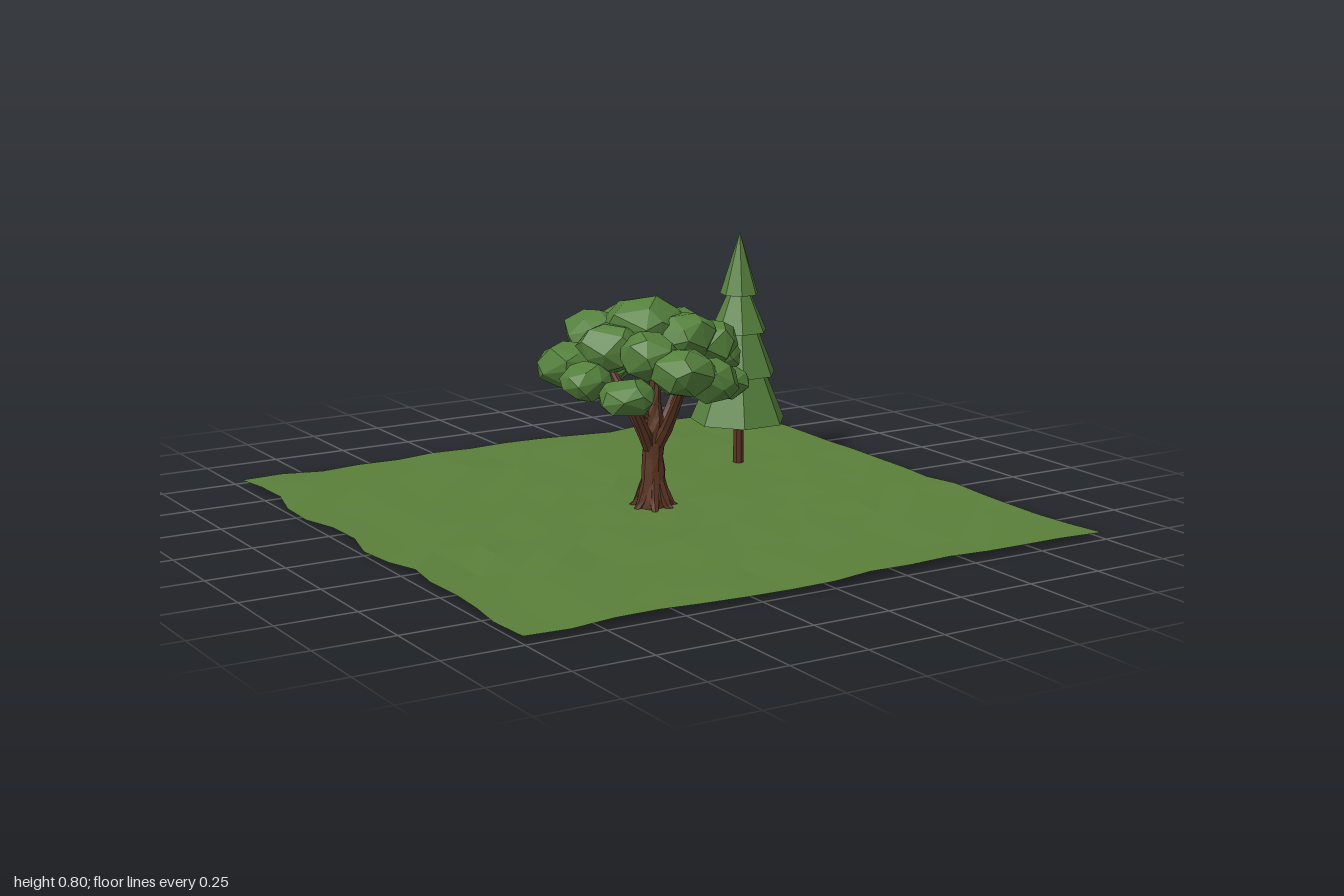
import * as THREE from 'three';
import { ConvexGeometry } from 'three/addons/geometries/ConvexGeometry.js';

// Small seeded random generator
function seeded(seed) {
  let s = seed;
  return () => {
    s = (s * 16807) % 2147483647;
    return s / 2147483647;
  };
}

function makeMaterial(name, color, doubleSided = false) {
  const m = new THREE.MeshStandardMaterial({ color, flatShading: true });
  m.name = name;
  if (doubleSided) m.side = THREE.DoubleSide;
  return m;
}

function makeMesh(name, geometry, material) {
  const mesh = new THREE.Mesh(geometry, material);
  mesh.name = name;
  return mesh;
}

// Tapered, slightly gnarled tube through points; radii are spread evenly along it
function limb(points, radii, sides, rand, steps = 6, rough = 0.12) {
  const curve = new THREE.CatmullRomCurve3(points.map((p) => new THREE.Vector3(...p)));
  const geo = new THREE.TubeGeometry(curve, steps, 1, sides);
  const pos = geo.attributes.position;
  const v = new THREE.Vector3();
  for (let i = 0; i <= steps; i++) {
    const centre = curve.getPointAt(i / steps);
    const f = (i / steps) * (radii.length - 1);
    const k = Math.min(Math.floor(f), radii.length - 2);
    const radius = THREE.MathUtils.lerp(radii[k], radii[k + 1], f - k);
    const wobble = Array.from({ length: sides }, () => 1 + (rand() - 0.5) * 2 * rough);
    for (let j = 0; j <= sides; j++) {
      const n = i * (sides + 1) + j;
      v.fromBufferAttribute(pos, n).sub(centre).multiplyScalar(radius * wobble[j % sides]).add(centre);
      pos.setXYZ(n, v.x, Math.max(v.y, 0), v.z);
    }
  }
  geo.computeVertexNormals();
  return geo;
}

// Irregular faceted clump of leaves
function clump(rx, ry, rand) {
  const count = 24;
  const turn = rand() * 6.28;
  const pts = [];
  for (let i = 0; i < count; i++) {
    const y = 1 - (2 * (i + 0.5)) / count;
    const r = Math.sqrt(1 - y * y);
    const a = i * 2.39996 + turn + (rand() - 0.5) * 0.7;
    const k = 0.98 + rand() * 0.14;
    pts.push(new THREE.Vector3(Math.cos(a) * r * rx * k, y * ry * k, Math.sin(a) * r * rx * k));
  }
  return new ConvexGeometry(pts);
}

// Uneven lawn with ragged edges
function makeGround(material) {
  const n = 14;
  const left = [0.98, 0.97, 0.965, 1, 1, 0.97, 0.965, 1, 0.985, 0.965, 0.985, 0.97, 0.98, 1, 0.985];
  const right = [0.965, 0.97, 1, 0.99, 0.985, 0.985, 0.98, 0.985, 0.975, 0.985, 0.985, 0.98, 0.98, 0.985, 1];
  const back = [0.99, 0.98, 0.97, 0.99, 0.975, 0.995, 0.98, 0.99, 1, 0.975, 0.97, 1, 1, 1, 1];
  const front = [0.96, 0.97, 0.96, 0.965, 0.96, 0.98, 0.975, 0.995, 0.965, 0.97, 0.96, 0.965, 0.965, 0.96, 0.98];
  const rand = seeded(71);
  const geo = new THREE.PlaneGeometry(2, 2, n, n).rotateX(-Math.PI / 2);
  const pos = geo.attributes.position;
  for (let r = 0; r <= n; r++) {
    for (let c = 0; c <= n; c++) {
      const i = r * (n + 1) + c;
      const inside = r > 0 && r < n && c > 0 && c < n ? 0.04 : 0;
      const x = pos.getX(i);
      const z = pos.getZ(i);
      pos.setXYZ(
        i,
        x * (x < 0 ? left[r] : right[r]) + (rand() - 0.5) * inside,
        0.012 + rand() * 0.011,
        z * (z < 0 ? back[c] : front[c]) + (rand() - 0.5) * inside
      );
    }
  }
  geo.computeVertexNormals();
  return makeMesh('ground', geo, material);
}

// Broad tree: trunk, roots, branches and leaf clumps
function makeBroadTree(bark, leaves) {
  const tree = new THREE.Group();
  tree.name = 'broadTree';
  const rand = seeded(1234);

  tree.add(makeMesh('trunk', limb(
    [[0, 0.004, 0], [0, 0.1, 0], [0, 0.2, 0], [0.005, 0.3, 0], [0.01, 0.52, 0]],
    [0.055, 0.04, 0.033, 0.034, 0.022, 0.018, 0.014], 10, rand, 12), bark));

  const rootCount = 7;
  for (let i = 0; i < rootCount; i++) {
    const a = (i / rootCount) * Math.PI * 2 + 0.3 + (rand() - 0.5) * 0.3;
    const reach = 0.078 + rand() * 0.016;
    const at = (r, y) => [Math.cos(a) * r, y, Math.sin(a) * r];
    tree.add(makeMesh('root', limb(
      [at(0.02, 0.13), at(0.035, 0.06), at(0.055, 0.025), at(reach, 0.006)],
      [0.012, 0.018, 0.017, 0.005], 6, rand, 5), bark));
  }

  const branches = [
    [[0, 0.18, 0], [0.07, 0.29, -0.03], [0.18, 0.47, -0.07]],
    [[0, 0.18, 0], [-0.05, 0.28, 0.02], [-0.13, 0.42, 0.05]],
    [[0, 0.19, 0], [0.02, 0.28, 0.05], [0.02, 0.45, 0.16]],
    [[0, 0.19, 0], [-0.03, 0.3, -0.06], [-0.07, 0.45, -0.15]],
    [[0.01, 0.28, 0], [-0.03, 0.32, 0], [-0.12, 0.38, -0.02]],
  ];
  branches.forEach((path, i) => {
    const r = i < 4 ? 0.021 : 0.012;
    tree.add(makeMesh('branch', limb(path, [r * 1.1, r * 0.85, r * 0.55], 7, rand), bark));
  });

  // Clumps as x, y, z, horizontal radius, vertical radius
  const clumps = [
    [-0.01, 0.6, -0.03, 0.13, 0.085],
    [0.04, 0.55, -0.21, 0.105, 0.085],
    [-0.09, 0.55, -0.21, 0.1, 0.075],
    [-0.22, 0.47, -0.15, 0.095, 0.07],
    [-0.25, 0.45, 0.02, 0.08, 0.06],
    [-0.14, 0.54, -0.02, 0.1, 0.08],
    [-0.17, 0.41, 0.13, 0.09, 0.06],
    [-0.09, 0.53, 0.13, 0.09, 0.075],
    [-0.03, 0.49, 0.225, 0.1, 0.075],
    [0.09, 0.45, 0.2, 0.085, 0.07],
    [0.16, 0.54, 0.07, 0.1, 0.075],
    [0.07, 0.57, 0.08, 0.1, 0.075],
    [0.28, 0.465, -0.07, 0.08, 0.06],
    [0.2, 0.45, -0.17, 0.085, 0.07],
    [0.15, 0.55, -0.09, 0.1, 0.075],
    [0.18, 0.42, 0.13, 0.075, 0.055],
    [-0.04, 0.43, -0.23, 0.085, 0.06],
  ];
  for (const [x, y, z, rx, ry] of clumps) {
    const c = makeMesh('leafClump', clump(rx, ry, rand), leaves);
    c.position.set(x, y, z);
    tree.add(c);
  }
  return tree;
}

// Pine: seven-sided tiers on a thin trunk
function makePine(bark, needles) {
  const pine = new THREE.Group();
  pine.name = 'pineTree';
  const trunk = makeMesh('pineTrunk', new THREE.CylinderGeometry(0.016, 0.019, 0.2, 7), bark);
  trunk.position.y = 0.106;
  const profile = [
    [0, 0.165], [0.163, 0.165], [0.095, 0.325], [0.127, 0.325], [0.068, 0.47],
    [0.096, 0.47], [0.04, 0.595], [0.065, 0.595], [0, 0.803],
  ].map(([r, y]) => new THREE.Vector2(r, y));
  const tiers = makeMesh('pineTiers', new THREE.LatheGeometry(profile, 7), needles);
  tiers.rotation.y = Math.PI;
  pine.add(trunk, tiers);
  pine.position.set(0.548, 0, -0.347);
  return pine;
}

export function createModel() {
  const bark = makeMaterial('bark brown', 0x5a3523, true);
  const leaves = makeMaterial('leaf green', 0x54803c);
  const needles = makeMaterial('needle green', 0x57823e);
  const grass = makeMaterial('grass green', 0x5a7f3a, true);

  const model = new THREE.Group();
  model.name = 'treeScene';
  model.add(makeGround(grass), makeBroadTree(bark, leaves), makePine(bark, needles));
  return model;
}
